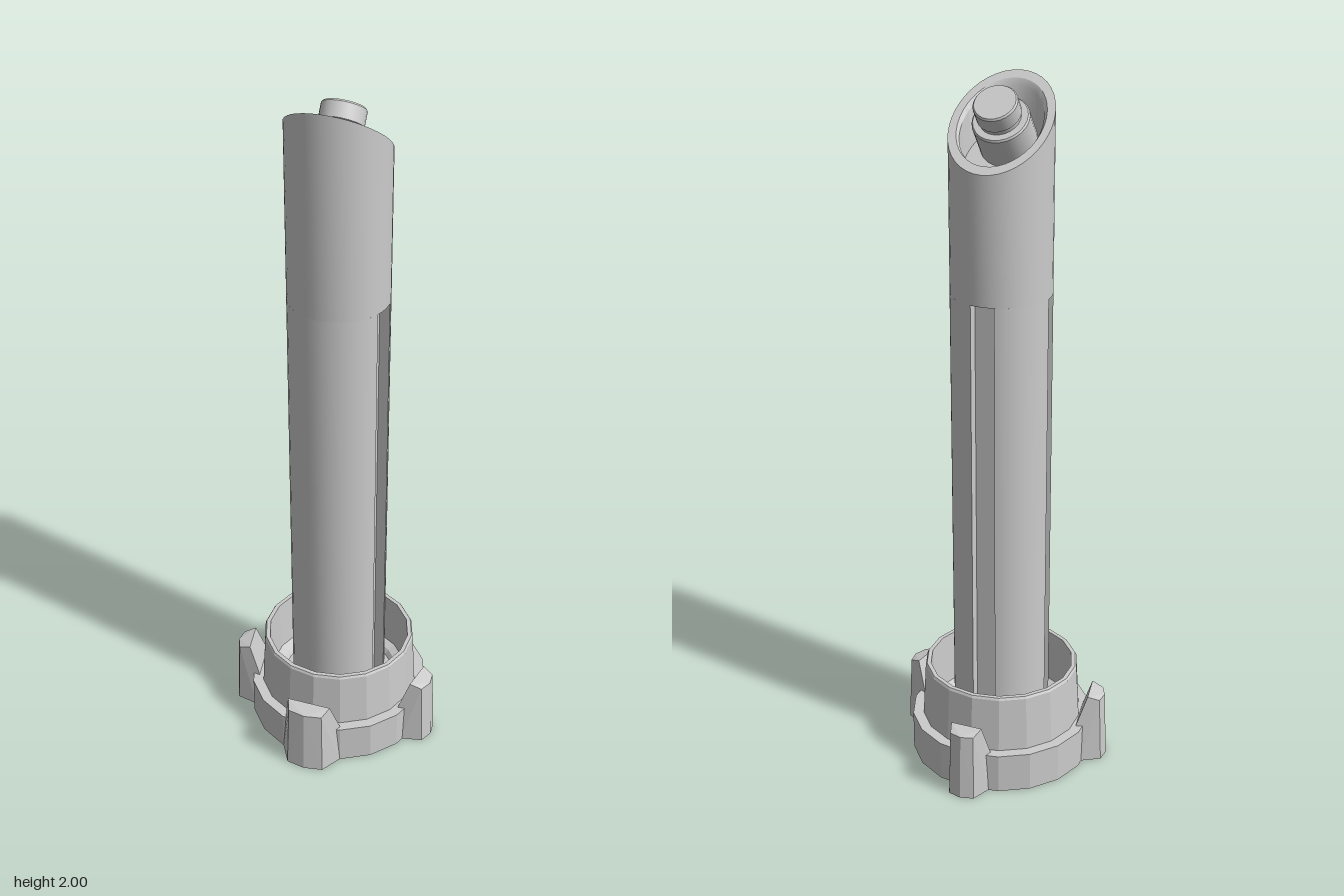
import * as THREE from 'three';
import { toCreasedNormals } from 'three/addons/utils/BufferGeometryUtils.js';
import { ConvexGeometry } from 'three/addons/geometries/ConvexGeometry.js';

const SLOPE = 0.77;      // slant of the cut at the top of the tube
const TILT = Math.atan(SLOPE);
const CUT_Y = 1.892;     // height of the cut on the tube axis
const GROOVE_TOP = 1.43;
const SIDE_TURN = THREE.MathUtils.degToRad(10); // side features lean to the front

const smooth = new THREE.MeshStandardMaterial({ color: 0xcccccc, side: THREE.DoubleSide });
const flat = new THREE.MeshStandardMaterial({ color: 0xcccccc, flatShading: true, side: THREE.DoubleSide });

function add(parent, name, geometry, material = smooth) {
  const mesh = new THREE.Mesh(geometry, material);
  mesh.name = name;
  parent.add(mesh);
  return mesh;
}

const crease = (geometry) => toCreasedNormals(geometry, 0.5);
const lathe = (points, sides) =>
  new THREE.LatheGeometry(points.map(([r, y]) => new THREE.Vector2(r, y)), sides);

// Circle with three flat-bottomed notches: one at the back, one on each side
function notchedCircle(radius, floor, halfWidth) {
  const points = [];
  const angles = [-SIDE_TURN, Math.PI / 2, Math.PI + SIDE_TURN];
  const half = Math.asin(halfWidth / radius);
  const edge = Math.cos(half) * radius;
  angles.forEach((angle, i) => {
    for (const [u, v] of [[edge, -halfWidth], [floor, -halfWidth], [floor, halfWidth]]) {
      points.push(new THREE.Vector2(u, v).rotateAround(new THREE.Vector2(), angle));
    }
    const next = i < 2 ? angles[i + 1] : angles[0] + Math.PI * 2;
    const start = angle + half, end = next - half, steps = 14;
    for (let k = 0; k < steps; k++) {
      const a = start + (end - start) * k / steps;
      points.push(new THREE.Vector2(Math.cos(a) * radius, Math.sin(a) * radius));
    }
  });
  return points;
}

// Lower tube: grooved wall around an open bore
function groovedTube() {
  const bottom = 0.07;
  const shape = new THREE.Shape(notchedCircle(0.14, 0.105, 0.034));
  shape.holes.push(new THREE.Path(notchedCircle(0.118, 0.09, 0.045)));
  const geometry = new THREE.ExtrudeGeometry(shape, { depth: GROOVE_TOP - bottom, bevelEnabled: false });
  geometry.rotateX(-Math.PI / 2).translate(0, bottom, 0);
  return crease(geometry);
}

// Upper tube: the rim and recess are sheared to follow the slanted cut
function slantedTip() {
  const geometry = lathe([
    [0.09, GROOVE_TOP], [0.14, GROOVE_TOP], [0.14, CUT_Y], [0.118, CUT_Y],
    [0.11, CUT_Y - 0.012], [0.105, CUT_Y - 0.11], [0, CUT_Y - 0.11],
  ], 40);
  const pos = geometry.attributes.position;
  for (let i = 0; i < pos.count; i++) {
    if (pos.getY(i) > GROOVE_TOP + 0.01) pos.setY(i, pos.getY(i) + SLOPE * pos.getZ(i));
  }
  return crease(geometry);
}

// Lug pointing along +z, tapering outward and upward
function lugGeometry(base, tip) {
  const points = [];
  const pair = (x, y, z) => points.push(new THREE.Vector3(x, y, z), new THREE.Vector3(-x, y, z));
  pair(base, 0, 0.25);
  pair(base * 0.95, 0.12, 0.237);
  pair(base * 0.72, 0.213, 0.268);
  pair(tip, 0, 0.31);
  pair(tip * 0.92, 0.2, 0.302);
  points.push(new THREE.Vector3(0, 0, 0.32), new THREE.Vector3(0, 0.2, 0.312));
  return new ConvexGeometry(points);
}

export function createModel() {
  const model = new THREE.Group();
  model.name = 'lockingTube';

  // Tube
  const tube = new THREE.Group();
  tube.name = 'tube';
  model.add(tube);
  add(tube, 'groovedTube', groovedTube());
  add(tube, 'slantedTip', slantedTip());

  // Nozzle set square to the slanted cut
  const nozzle = add(tube, 'nozzle', crease(lathe([
    [0.078, -0.1], [0.078, 0.008], [0.074, 0.013], [0.056, 0.013], [0.056, 0.026],
    [0.06, 0.028], [0.06, 0.07], [0.056, 0.075], [0, 0.075],
  ], 24)));
  nozzle.position.set(0, CUT_Y, 0);
  nozzle.rotation.x = -TILT;

  // Collar: wide foot, raised cup, and stepped hollow underside
  add(model, 'collar', lathe([
    [0.138, 0.07], [0.165, 0.07], [0.17, 0.05], [0.2, 0.05], [0.21, 0], [0.266, 0],
    [0.266, 0.118], [0.235, 0.118], [0.226, 0.28], [0.222, 0.287], [0.21, 0.287],
    [0.203, 0.13], [0.18, 0.12], [0.17, 0.105], [0.138, 0.105],
  ], 18), flat);

  // Four lugs: a wide one in front, a narrow one at each side and at the back
  const lugs = [
    ['frontLug', 0, 0.09, 0.055],
    ['leftLug', Math.PI / 2 - SIDE_TURN, 0.064, 0.04],
    ['rightLug', -Math.PI / 2 + SIDE_TURN, 0.064, 0.04],
    ['backLug', Math.PI, 0.064, 0.038],
  ];
  for (const [name, turn, base, tip] of lugs) {
    add(model, name, lugGeometry(base, tip), flat).rotation.y = turn;
  }
  return model;
}
